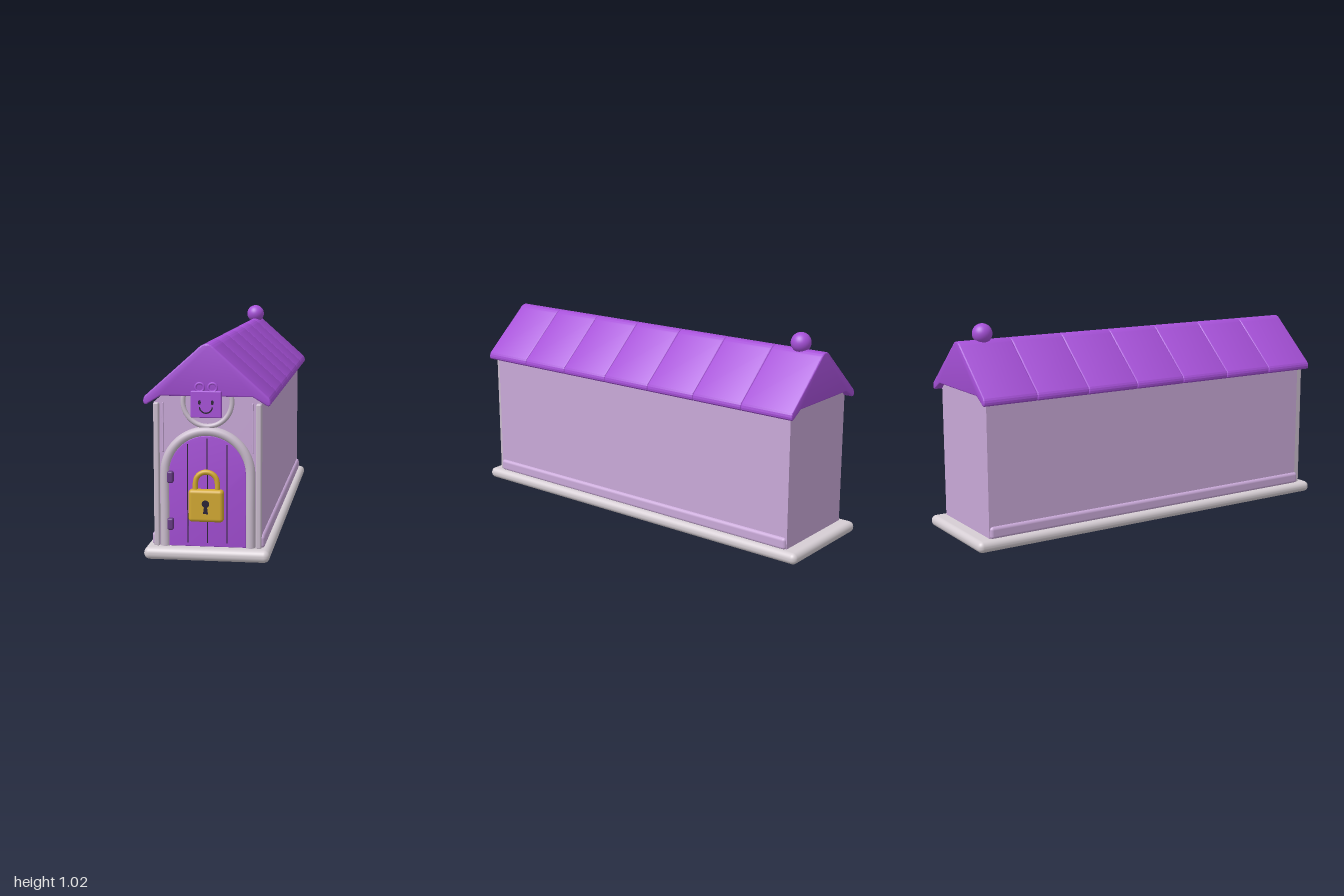
import * as THREE from 'three';
import { toCreasedNormals } from 'three/addons/utils/BufferGeometryUtils.js';
import { RoundedBoxGeometry } from 'three/addons/geometries/RoundedBoxGeometry.js';

const paint = (name, color) => {
  const m = new THREE.MeshStandardMaterial({ color });
  m.name = name;
  return m;
};

export function createModel() {
  const model = new THREE.Group();
  model.name = 'longHouse';
  const purple = paint('purple', 0xa650d8);
  const wallLilac = paint('wallLilac', 0xc9a9d8);
  const trimGrey = paint('trimGrey', 0xcabccd);
  const baseGrey = paint('baseGrey', 0xd6ced4);
  const gold = paint('gold', 0xd2a931);
  const darkPurple = paint('darkPurple', 0x663a85);
  const ink = paint('ink', 0x2a2135);

  const add = (name, geometry, material, x = 0, y = 0, z = 0, parent = model) => {
    const mesh = new THREE.Mesh(geometry, material);
    mesh.name = name;
    mesh.position.set(x, y, z);
    parent.add(mesh);
    return mesh;
  };
  const rounded = (w, h, d, r) => new RoundedBoxGeometry(w, h, d, 4, r);
  const polygon = (pts) => new THREE.Shape(pts.map((p) => new THREE.Vector2(...p)));
  const extrude = (shape, depth, bevel = 0) => {
    const g = new THREE.ExtrudeGeometry(shape, {
      depth: depth - 2 * bevel, curveSegments: 24, bevelEnabled: bevel > 0,
      bevelSize: bevel, bevelOffset: -bevel, bevelThickness: bevel, bevelSegments: 3,
    });
    g.translate(0, 0, bevel);
    return toCreasedNormals(g, 0.6);
  };

  // Plinth
  add('base', rounded(0.554, 0.055, 2, 0.026), baseGrey, 0, 0.0275, 0);

  // Walls with chamfered top edges under the eaves
  const wall = polygon([[-0.237, 0.04], [0.237, 0.04], [0.237, 0.69], [0.2, 0.722], [-0.2, 0.722], [-0.237, 0.69]]);
  add('walls', extrude(wall, 1.863), wallLilac, 0, 0, -0.93);

  // Skirting and front corner posts
  for (const s of [-1, 1]) {
    add('skirting', rounded(0.036, 0.06, 1.86, 0.016), wallLilac, s * 0.232, 0.08, 0.003);
    add('cornerPost', rounded(0.025, 0.64, 0.04, 0.008), trimGrey, s * 0.2245, 0.37, 0.932);
    add('postInset', rounded(0.008, 0.22, 0.014, 0.003), wallLilac, s * 0.197, 0.58, 0.932);
  }

  // Roof: seven overlapping bevelled ridge tiles
  const tile = new THREE.Shape();
  tile.moveTo(-0.2, 0.721);
  tile.lineTo(-0.258, 0.686);
  tile.quadraticCurveTo(-0.272, 0.678, -0.277, 0.692);
  tile.quadraticCurveTo(-0.279, 0.71, -0.268, 0.722);
  tile.lineTo(-0.04, 0.925);
  tile.quadraticCurveTo(0, 0.968, 0.04, 0.925);
  tile.lineTo(0.268, 0.722);
  tile.quadraticCurveTo(0.279, 0.71, 0.277, 0.692);
  tile.quadraticCurveTo(0.272, 0.678, 0.258, 0.686);
  tile.lineTo(0.2, 0.721);
  const roof = new THREE.Group();
  roof.name = 'roof';
  model.add(roof);
  const tileGeometry = extrude(tile, 0.275, 0.006);
  for (let i = 0; i < 7; i++) add('roofTile', tileGeometry, purple, 0, 0, -0.96 + i * 0.275, roof);
  add('finial', new THREE.SphereGeometry(0.048, 32, 24), purple, 0, 0.974, -0.825);

  // Arched door with plank grooves and hinges
  const door = new THREE.Shape();
  door.moveTo(-0.17, 0.055);
  door.lineTo(0.17, 0.055);
  door.lineTo(0.17, 0.378);
  door.absarc(0, 0.378, 0.17, 0, Math.PI, false);
  door.lineTo(-0.17, 0.055);
  add('door', extrude(door, 0.03, 0.003), purple, 0, 0, 0.916);
  for (const [x, top] of [[-0.087, 0.51], [0, 0.535], [0.087, 0.51]]) {
    add('plankGroove', new THREE.BoxGeometry(0.004, top - 0.072, 0.004), ink, x, (top + 0.072) / 2, 0.946);
  }
  for (const y of [0.155, 0.364]) add('hinge', rounded(0.028, 0.052, 0.03, 0.008), darkPurple, -0.162, y, 0.952);

  // Door surround
  const archPoints = [new THREE.Vector3(-0.188, 0.05, 0), new THREE.Vector3(-0.188, 0.2, 0)];
  for (let i = 0; i <= 16; i++) {
    const a = Math.PI * (1 - i / 16);
    archPoints.push(new THREE.Vector3(0.188 * Math.cos(a), 0.378 + 0.188 * Math.sin(a), 0));
  }
  archPoints.push(new THREE.Vector3(0.188, 0.2, 0), new THREE.Vector3(0.188, 0.05, 0));
  add('doorSurround', new THREE.TubeGeometry(new THREE.CatmullRomCurve3(archPoints), 96, 0.0215, 14), trimGrey, 0, 0, 0.936);

  // Round medallion above the door
  add('medallionRing', new THREE.TorusGeometry(0.107, 0.011, 12, 64), trimGrey, 0, 0.695, 0.938);
  add('medallionDisc', new THREE.CylinderGeometry(0.1, 0.1, 0.006, 48).rotateX(Math.PI / 2), wallLilac, 0, 0.695, 0.934);

  // Smiling plaque
  const plaque = new THREE.Group();
  plaque.name = 'plaque';
  plaque.position.set(0, 0.688, 0.966);
  model.add(plaque);
  add('plaqueBody', rounded(0.134, 0.116, 0.024, 0.005), purple, 0, 0, 0, plaque);
  for (const s of [-1, 1]) {
    add('plaqueLoop', new THREE.TorusGeometry(0.0185, 0.0055, 10, 28), purple, s * 0.028, 0.073, 0.004, plaque);
    const eye = add('eye', new THREE.CircleGeometry(0.01, 20), ink, s * 0.028, 0.009, 0.013, plaque);
    eye.scale.x = 0.65;
  }
  const smile = new THREE.Shape();
  smile.absarc(0, 0, 0.031, Math.PI * 1.03, Math.PI * 1.97, false);
  smile.absarc(0, 0, 0.025, Math.PI * 1.97, Math.PI * 1.03, true);
  add('smile', new THREE.ShapeGeometry(smile, 24), ink, 0, -0.009, 0.013, plaque);

  // Padlock
  const padlock = new THREE.Group();
  padlock.name = 'padlock';
  model.add(padlock);
  add('lockBody', rounded(0.154, 0.143, 0.044, 0.016), gold, 0, 0.2465, 0.975, padlock);
  const shackle = new THREE.CatmullRomCurve3([
    [-0.048, 0.3], [-0.048, 0.345], [-0.0416, 0.369], [-0.024, 0.3866], [0, 0.393],
    [0.024, 0.3866], [0.0416, 0.369], [0.048, 0.345], [0.048, 0.3],
  ].map(([x, y]) => new THREE.Vector3(x, y, 0)));
  add('shackle', new THREE.TubeGeometry(shackle, 48, 0.0115, 12), gold, 0, 0, 0.973, padlock);
  add('keyholeTop', new THREE.CircleGeometry(0.0165, 28), ink, 0, 0.257, 0.9985, padlock);
  const slot = polygon([[-0.011, 0.213], [0.011, 0.213], [0.006, 0.25], [-0.006, 0.25]]);
  add('keyholeSlot', new THREE.ShapeGeometry(slot), ink, 0, 0, 0.9985, padlock);

  return model;
}
